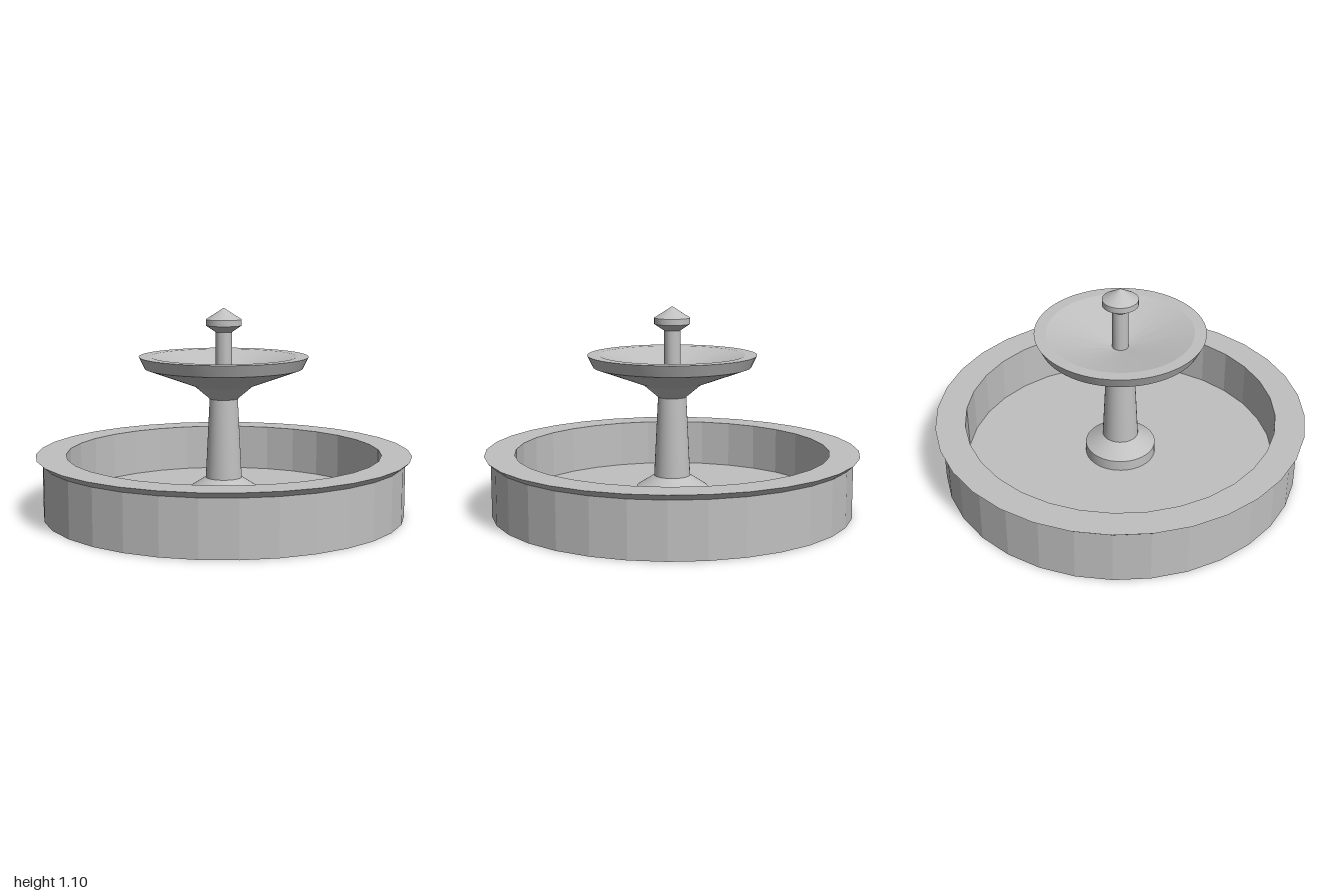
import * as THREE from 'three';
import { toCreasedNormals } from 'three/addons/utils/BufferGeometryUtils.js';

export function createModel() {
  const model = new THREE.Group();
  model.name = 'fountain';

  const stone = new THREE.MeshStandardMaterial({ color: 0xc0c0c0 });
  stone.name = 'grey stone';

  // Turns a [radius, height] profile, listed bottom to top along the outside
  function turned(name, profile, sides, crease) {
    const points = profile.map(([r, y]) => new THREE.Vector2(r, y));
    const geometry = toCreasedNormals(new THREE.LatheGeometry(points, sides), crease);
    const mesh = new THREE.Mesh(geometry, stone);
    mesh.name = name;
    model.add(mesh);
  }

  // Faceted pool with a flared lip, inner wall and floor
  turned('basin', [
    [0, 0], [0.965, 0], [0.965, 0.293], [1, 0.325],
    [0.84, 0.325], [0.84, 0.07], [0, 0.07],
  ], 32, 0.05);

  // Round plinth with a sloping shoulder
  turned('plinth', [
    [0, 0.07], [0.19, 0.07], [0.19, 0.13], [0.097, 0.19], [0, 0.19],
  ], 48, 0.25);

  // Tapered column
  turned('column', [[0.097, 0.185], [0.075, 0.62]], 32, 0.25);

  // Upper bowl: stepped underside, flat rim, shallow conical inside
  turned('upperBowl', [
    [0, 0.615], [0.075, 0.615], [0.155, 0.683], [0.42, 0.78],
    [0.45, 0.842], [0.387, 0.842], [0.04, 0.75], [0, 0.75],
  ], 64, 0.2);

  // Slim spout post
  turned('spoutPost', [[0.043, 0.74], [0.043, 0.975]], 32, 0.25);

  // Pointed cap
  turned('finial', [
    [0, 0.97], [0.043, 0.97], [0.095, 1.005], [0.095, 1.037], [0, 1.098],
  ], 32, 0.25);

  return model;
}
